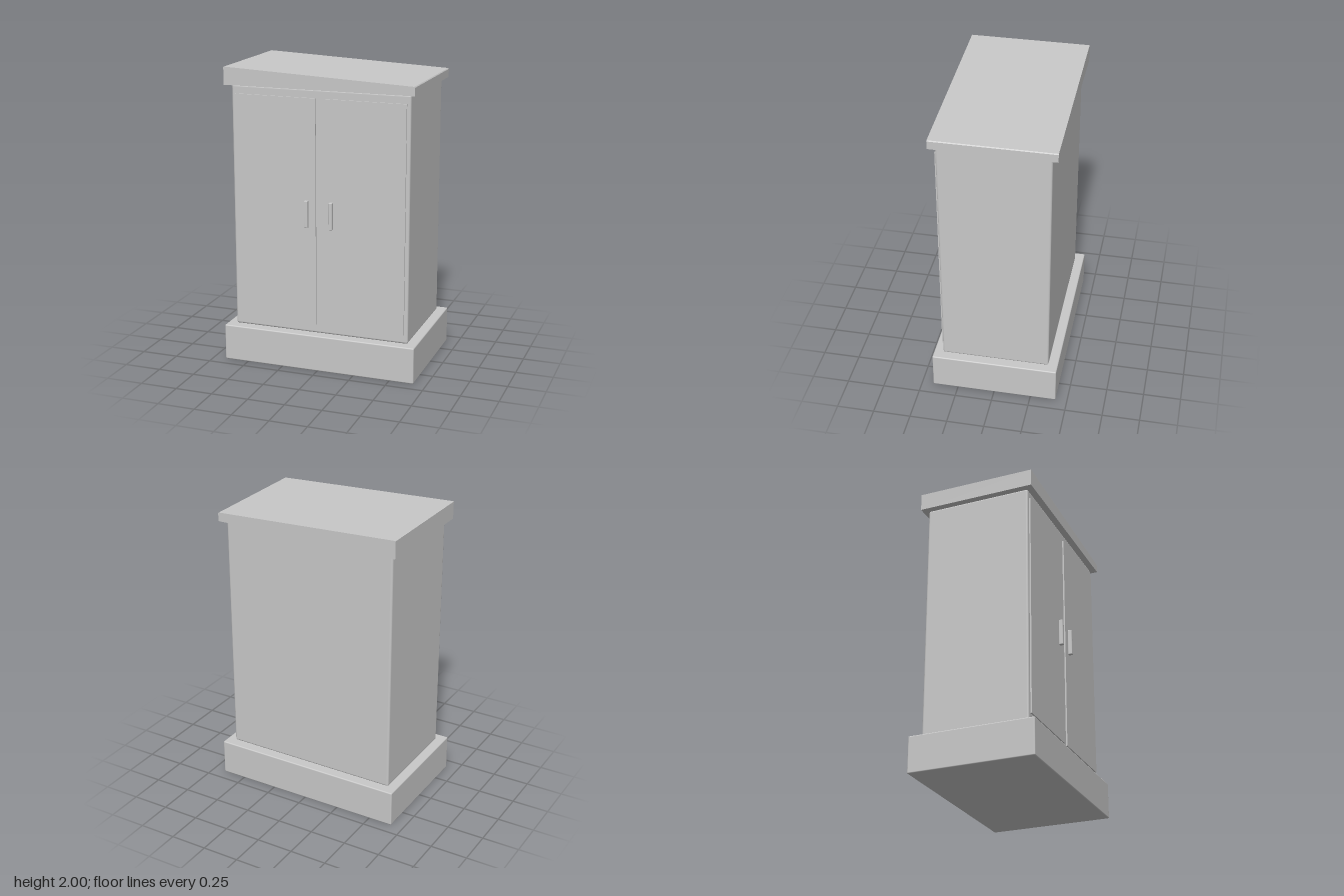
import * as THREE from 'three';
import { RoundedBoxGeometry } from 'three/addons/geometries/RoundedBoxGeometry.js';

const grey = new THREE.MeshStandardMaterial({ color: 0xc8c8c8 });
grey.name = 'light grey';

// Box with softened edges, placed by its lower and upper corners
function roundedBox(name, [x0, y0, z0], [x1, y1, z1], radius) {
  const geometry = new RoundedBoxGeometry(x1 - x0, y1 - y0, z1 - z0, 2, radius);
  const mesh = new THREE.Mesh(geometry, grey);
  mesh.name = name;
  mesh.position.set((x0 + x1) / 2, (y0 + y1) / 2, (z0 + z1) / 2);
  return mesh;
}

export function createModel() {
  const cabinet = new THREE.Group();
  cabinet.name = 'cabinet';

  // Plinth and main body
  cabinet.add(roundedBox('plinth', [-0.665, 0, -0.422], [0.665, 0.245, 0.422], 0.008));
  cabinet.add(roundedBox('body', [-0.605, 0.245, -0.36], [0.605, 1.882, 0.36], 0.014));

  // Sloping roof slab, higher on one side
  const profile = new THREE.Shape([
    new THREE.Vector2(-0.642, 1.882),
    new THREE.Vector2(0.64, 1.882),
    new THREE.Vector2(0.64, 1.935),
    new THREE.Vector2(0.635, 1.941),
    new THREE.Vector2(-0.638, 2.0),
    new THREE.Vector2(-0.642, 1.998),
  ]);
  const roofGeometry = new THREE.ExtrudeGeometry(profile, { depth: 0.8, bevelEnabled: false });
  roofGeometry.translate(0, 0, -0.4);
  const roof = new THREE.Mesh(roofGeometry, grey);
  roof.name = 'roof';
  cabinet.add(roof);

  // Pair of doors, each with an upright handle near the middle
  for (const [side, s] of [['right', -1], ['left', 1]]) {
    const door = new THREE.Mesh(new THREE.BoxGeometry(0.556, 1.518, 0.014), grey);
    door.name = side + 'Door';
    door.position.set(s * 0.302, 1.065, 0.363);
    cabinet.add(door);

    const handle = roundedBox(side + 'Handle', [-0.0125, 0.975, 0.369], [0.0125, 1.155, 0.397], 0.004);
    handle.position.x = s * 0.084;
    cabinet.add(handle);
  }
  return cabinet;
}
